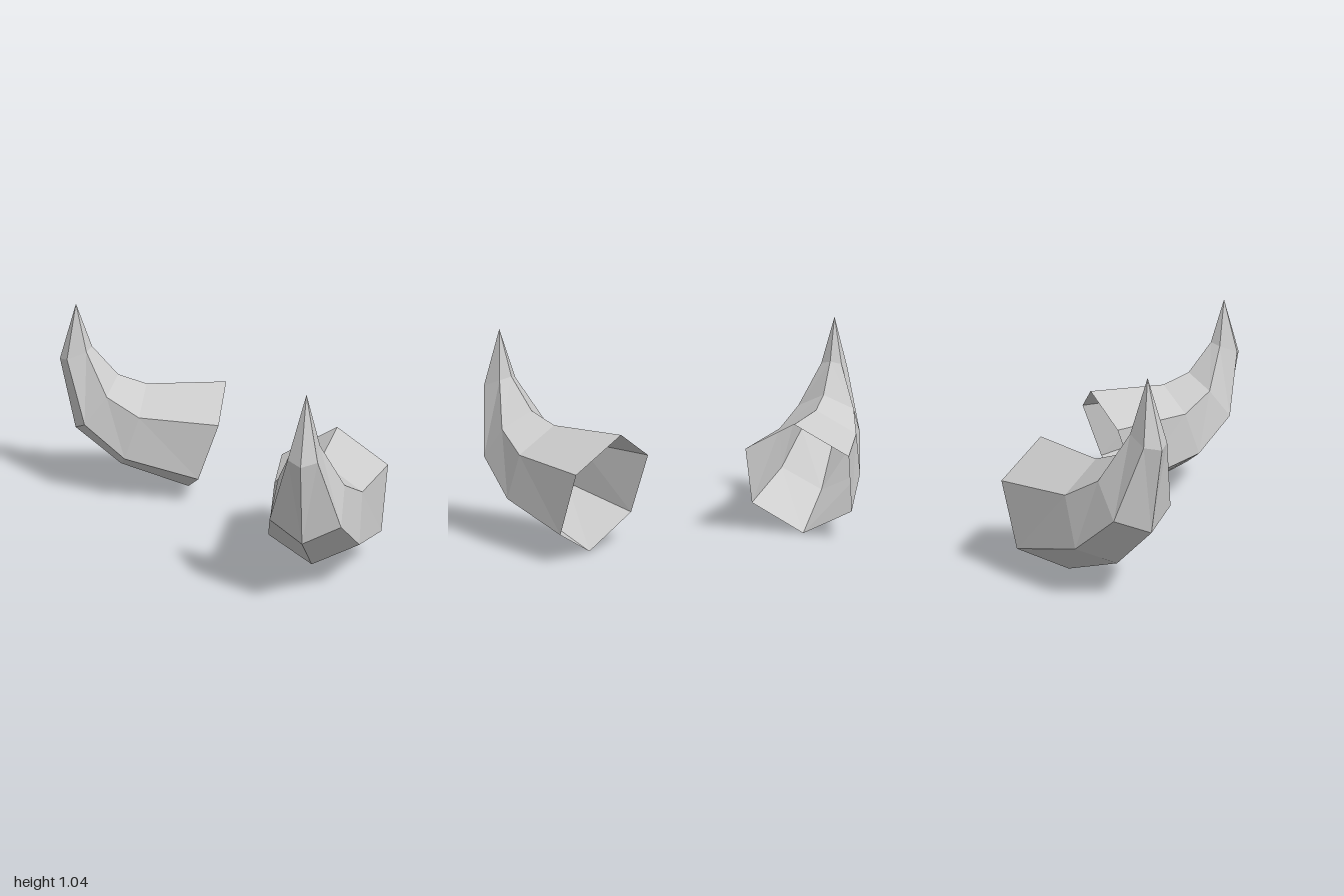
import * as THREE from 'three';

// Half-profile of each six-sided ring, from base towards the tip:
// [distance along the horn, height, half width] for ridge, upper side, lower side, keel
const RINGS = [
  [[0.018, 0.605, 0], [0.068, 0.455, 0.261], [0.176, 0.153, 0.258], [0.226, 0.003, 0]],
  [[0.44, 0.6, 0], [0.479, 0.483, 0.204], [0.56, 0.257, 0.212], [0.589, 0.145, 0]],
  [[0.589, 0.655, 0], [0.645, 0.58, 0.15], [0.765, 0.432, 0.16], [0.825, 0.36, 0]],
  [[0.72, 0.812, 0], [0.747, 0.797, 0.055], [0.848, 0.76, 0.065], [0.89, 0.747, 0]],
];
const TIP = [0.794, 1.042, 0];

// Each horn lies in an upright plane that runs outwards and forwards
const DIR = [0.594, 0.805];
const ORIGIN = [0.4195, -0.3095];

function place([u, y, w], side) {
  const x = ORIGIN[0] + DIR[0] * u - DIR[1] * w;
  const z = ORIGIN[1] + DIR[1] * u + DIR[0] * w;
  return [side * x, y, z];
}

function hornGeometry(side) {
  // Complete every ring by reflecting the two side points
  const mirror = ([u, y, w]) => [u, y, -w];
  const rings = RINGS.map(([a, b, c, d]) =>
    [a, b, c, d, mirror(c), mirror(b)].map((p) => place(p, side)));
  const tip = place(TIP, side);

  const positions = [];
  const tri = (a, b, c) => positions.push(...a, ...(side > 0 ? b : c), ...(side > 0 ? c : b));

  // Walls between rings, with diagonals symmetric across the horn
  for (let k = 0; k < rings.length - 1; k++) {
    for (let i = 0; i < 6; i++) {
      const j = (i + 1) % 6;
      const a = rings[k][i], b = rings[k][j], c = rings[k + 1][j], d = rings[k + 1][i];
      if (i < 3) {
        tri(a, b, d);
        tri(b, c, d);
      } else {
        tri(a, b, c);
        tri(a, c, d);
      }
    }
  }

  // Pointed end; the base stays open
  const last = rings[rings.length - 1];
  for (let i = 0; i < 6; i++) tri(last[i], last[(i + 1) % 6], tip);

  const geometry = new THREE.BufferGeometry();
  geometry.setAttribute('position', new THREE.Float32BufferAttribute(positions, 3));
  geometry.computeVertexNormals();
  return geometry;
}

export function createModel() {
  const group = new THREE.Group();
  group.name = 'pairOfHorns';
  const hornGrey = new THREE.MeshStandardMaterial({
    color: 0xcccccc, flatShading: true, side: THREE.DoubleSide,
  });
  hornGrey.name = 'hornGrey';
  for (const side of [1, -1]) {
    const horn = new THREE.Mesh(hornGeometry(side), hornGrey);
    horn.name = side > 0 ? 'leftHorn' : 'rightHorn';
    group.add(horn);
  }
  return group;
}
